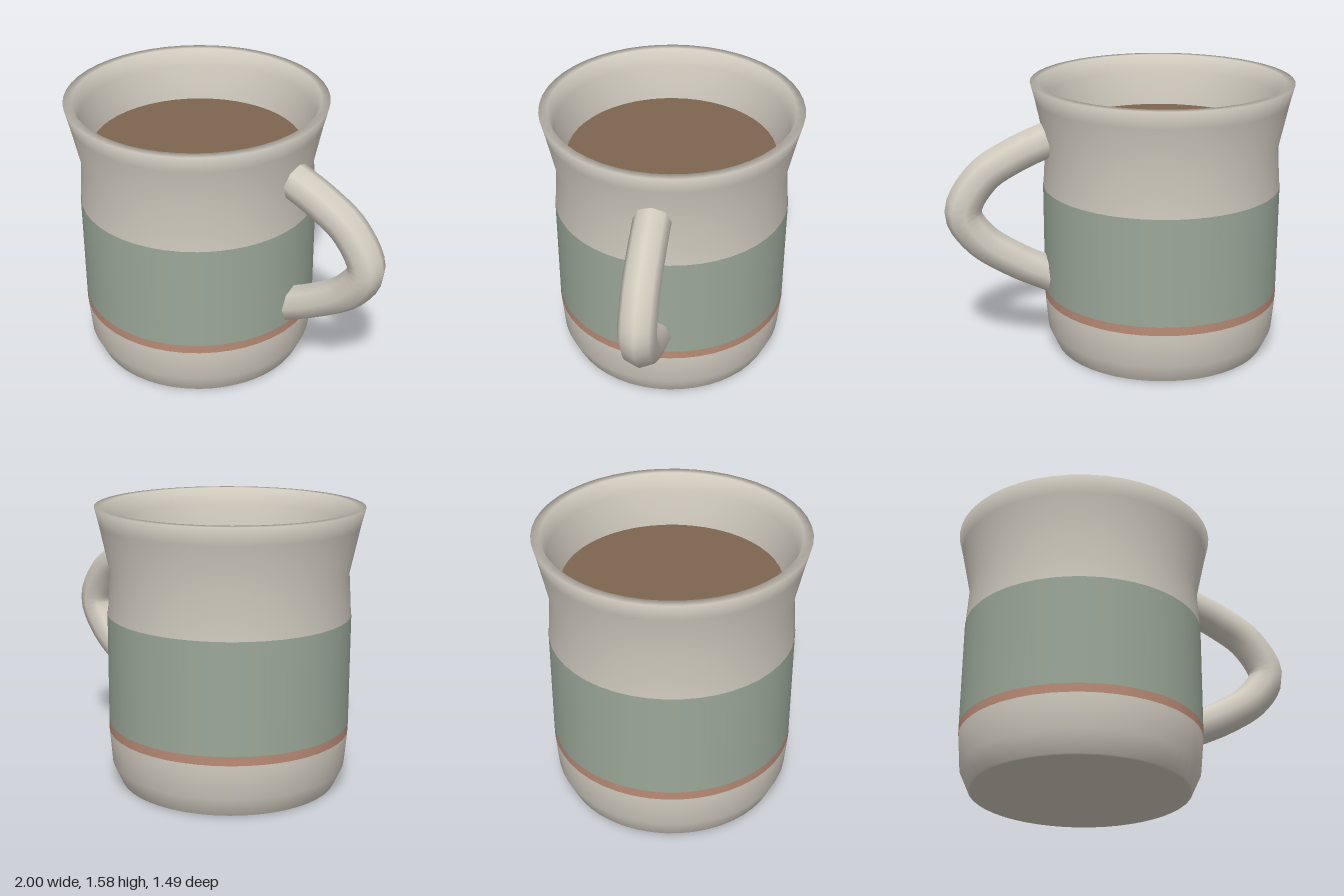
import * as THREE from 'three';

const CUP_X = -0.255;
const SEGMENTS = 48;

const material = (color) => new THREE.MeshStandardMaterial({ color, side: THREE.DoubleSide });

function lathe(name, profile, mat) {
  const points = profile.map(([r, y]) => new THREE.Vector2(r, y));
  const mesh = new THREE.Mesh(new THREE.LatheGeometry(points, SEGMENTS), mat);
  mesh.name = name;
  mesh.position.x = CUP_X;
  return mesh;
}

export function createModel() {
  const group = new THREE.Group();
  group.name = 'mug';
  const clay = material(0xd2ccc0);

  // Walls: base, outside, flared lip, inside and inner floor
  group.add(lathe('body', [
    [0, 0], [0.6, 0], [0.615, 0.004], [0.665, 0.115], [0.68, 0.29], [0.68, 0.98],
    [0.665, 1.22], [0.72, 1.48], [0.745, 1.58], [0.695, 1.58], [0.665, 1.48],
    [0.617, 1.25], [0.61, 0.98], [0.61, 0.29], [0.58, 0.13], [0, 0.1],
  ], clay));

  // Glazed bands lying on the outside wall
  group.add(lathe('wideBand', [[0.682, 0.36], [0.682, 0.98]], material(0x9ba899)));
  group.add(lathe('narrowBand', [[0.682, 0.31], [0.682, 0.36]], material(0xb98b76)));

  // Drink surface
  const drink = new THREE.Mesh(new THREE.CircleGeometry(0.603, SEGMENTS), material(0x7d6650));
  drink.name = 'drink';
  drink.rotation.x = -Math.PI / 2;
  drink.position.set(CUP_X, 1.29, 0);
  group.add(drink);

  // Handle: an eight-sided tube with closed ends
  const path = new THREE.CatmullRomCurve3([
    [0.375, 1.28], [0.6, 1.185], [0.78, 1.07], [0.892, 0.87],
    [0.8, 0.705], [0.6, 0.56], [0.385, 0.45],
  ].map(([x, y]) => new THREE.Vector3(x, y, 0)));
  const handle = new THREE.Group();
  handle.name = 'handle';
  const grip = new THREE.Mesh(new THREE.TubeGeometry(path, 32, 0.105, 8), clay);
  grip.name = 'handleGrip';
  handle.add(grip);
  for (const t of [0, 1]) {
    const cap = new THREE.Mesh(new THREE.CircleGeometry(0.105, 8), clay);
    cap.name = t ? 'handleLowerEnd' : 'handleUpperEnd';
    const end = path.getPointAt(t);
    cap.position.copy(end);
    cap.lookAt(end.clone().addScaledVector(path.getTangentAt(t), t ? 1 : -1));
    handle.add(cap);
  }
  group.add(handle);
  return group;
}
